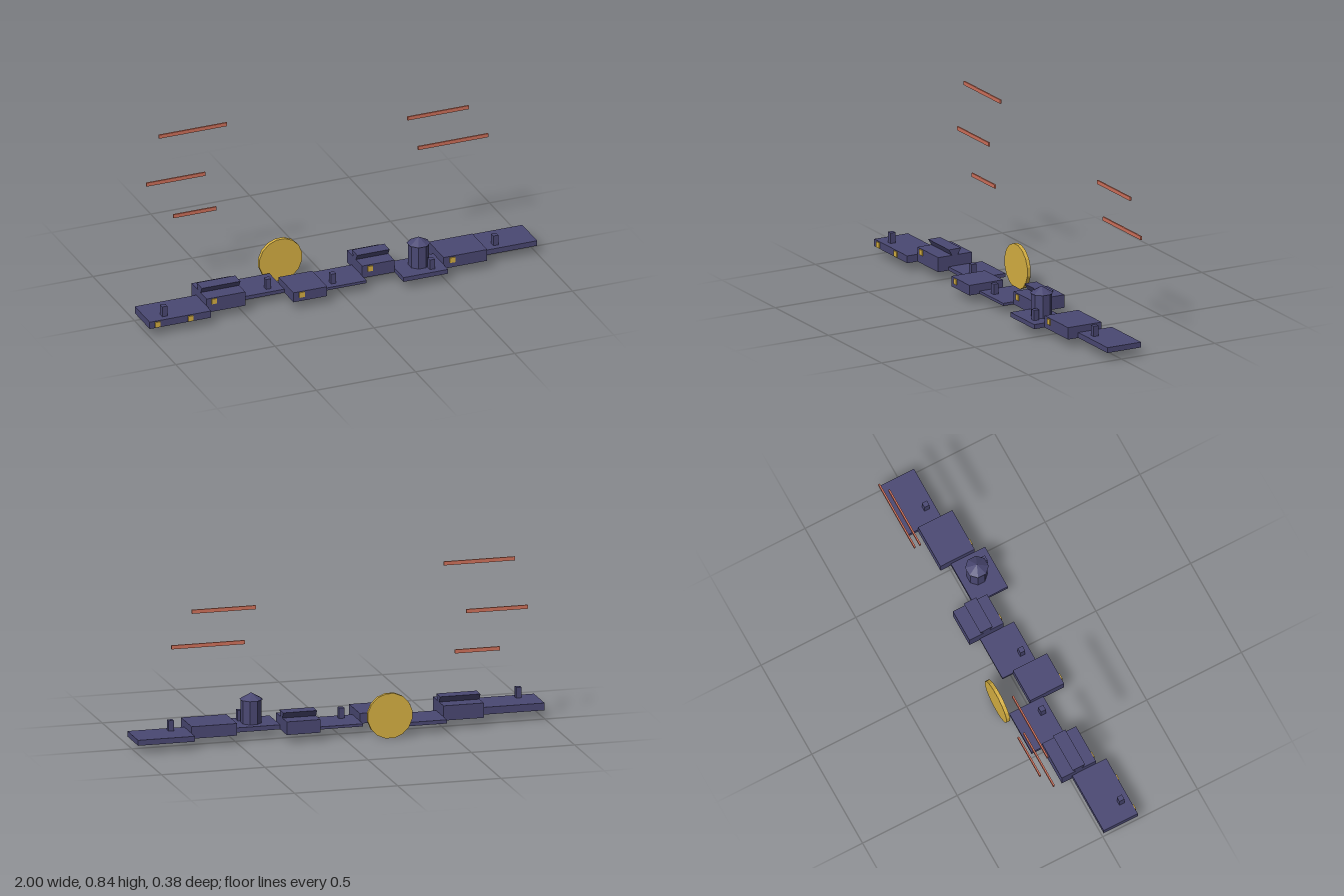
import * as THREE from 'three';

export function createModel() {
  const model = new THREE.Group();
  model.name = 'skylineAtSunset';

  const material = (name, color) => {
    const m = new THREE.MeshStandardMaterial({ color, flatShading: true });
    m.name = name;
    return m;
  };
  const navy = material('navy', 0x4a4873);
  const gold = material('gold', 0xd6b042);
  const coral = material('coral', 0xcf715b);

  const add = (name, geometry, mat, x, y, z) => {
    const mesh = new THREE.Mesh(geometry, mat);
    mesh.name = name;
    mesh.position.set(x, y, z);
    model.add(mesh);
    return mesh;
  };
  // box given by its limits in x and y, and its centre and depth in z
  const box = (name, mat, x0, x1, y0, y1, z, depth) =>
    add(name, new THREE.BoxGeometry(x1 - x0, y1 - y0, depth), mat, (x0 + x1) / 2, (y0 + y1) / 2, z);

  const BASE = 0.041;
  const DEPTH = 0.18;
  const ROWS = [0.095, 0.04, -0.015]; // z centres of the three staggered rows

  // houses: x limits, top, row, window centres [x, y], chimney [x, top], ridge roof top
  const houses = [
    { x: [-1, -0.69], top: 0.076, row: 0, windows: [[-0.96, 0.058], [-0.794, 0.058]], chimney: [-0.911, 0.127] },
    { x: [-0.69, -0.495], top: 0.112, row: 1, windows: [[-0.652, 0.095]], roof: 0.141 },
    { x: [-0.495, -0.275], top: 0.059, row: 2, windows: [], chimney: [-0.342, 0.11] },
    { x: [-0.275, -0.105], top: 0.09, row: 0, windows: [[-0.233, 0.074]] },
    { x: [-0.105, 0.117], top: 0.054, row: 1, windows: [], chimney: [-0.037, 0.104] },
    { x: [0.117, 0.28], top: 0.104, row: 2, windows: [[0.157, 0.085]], roof: 0.133 },
    { x: [0.28, 0.505], top: 0.063, row: 0, windows: [], chimney: [0.438, 0.113] },
    { x: [0.505, 0.725], top: 0.099, row: 1, windows: [[0.549, 0.08]] },
    { x: [0.725, 1], top: 0.067, row: 2, windows: [], chimney: [0.804, 0.117] },
  ];

  for (const { x: [x0, x1], top, row, windows, chimney, roof } of houses) {
    const z = ROWS[row];
    box('house', navy, x0, x1, BASE, top, z, DEPTH);
    for (const [wx, wy] of windows) {
      box('window', gold, wx - 0.013, wx + 0.013, wy - 0.013, wy + 0.013, z + DEPTH / 2 + 0.0025, 0.006);
    }
    if (chimney) {
      box('chimney', navy, chimney[0] - 0.013, chimney[0] + 0.013, top - 0.005, chimney[1], z + 0.047, 0.026);
    }
    if (roof) {
      // triangular prism with its flat side up, sunk into the house
      const half = 0.0325;
      const section = new THREE.Shape([[-half, 0], [0, -half * 1.732], [half, 0]].map((p) => new THREE.Vector2(...p)));
      const prism = new THREE.ExtrudeGeometry(section, { depth: x1 - x0, bevelEnabled: false });
      prism.rotateY(Math.PI / 2);
      add('ridgeRoof', prism, navy, x0, roof, z);
    }
  }

  // octagonal tower with a pointed roof
  const tower = new THREE.CylinderGeometry(0.0487, 0.0487, 0.116, 8).rotateY(Math.PI / 8);
  add('tower', tower, navy, 0.398, 0.118, 0.085);
  const spire = new THREE.ConeGeometry(0.0555, 0.032, 8).rotateY(Math.PI / 8);
  add('towerRoof', spire, navy, 0.398, 0.192, 0.085);

  // sun disc standing behind the houses
  const disc = new THREE.CylinderGeometry(0.109, 0.109, 0.018, 16).rotateY(Math.PI / 16).rotateX(Math.PI / 2);
  add('sun', disc, gold, -0.21, 0.107, -0.133);

  // thin cloud streaks: x limits and height
  const clouds = [
    [-0.8, -0.457, 0.833], [-0.863, -0.566, 0.596], [-0.728, -0.511, 0.406],
    [0.454, 0.762, 0.688], [0.507, 0.861, 0.524],
  ];
  for (const [x0, x1, y] of clouds) box('cloudStreak', coral, x0, x1, y - 0.009, y + 0.009, -0.184, 0.008);

  return model;
}
